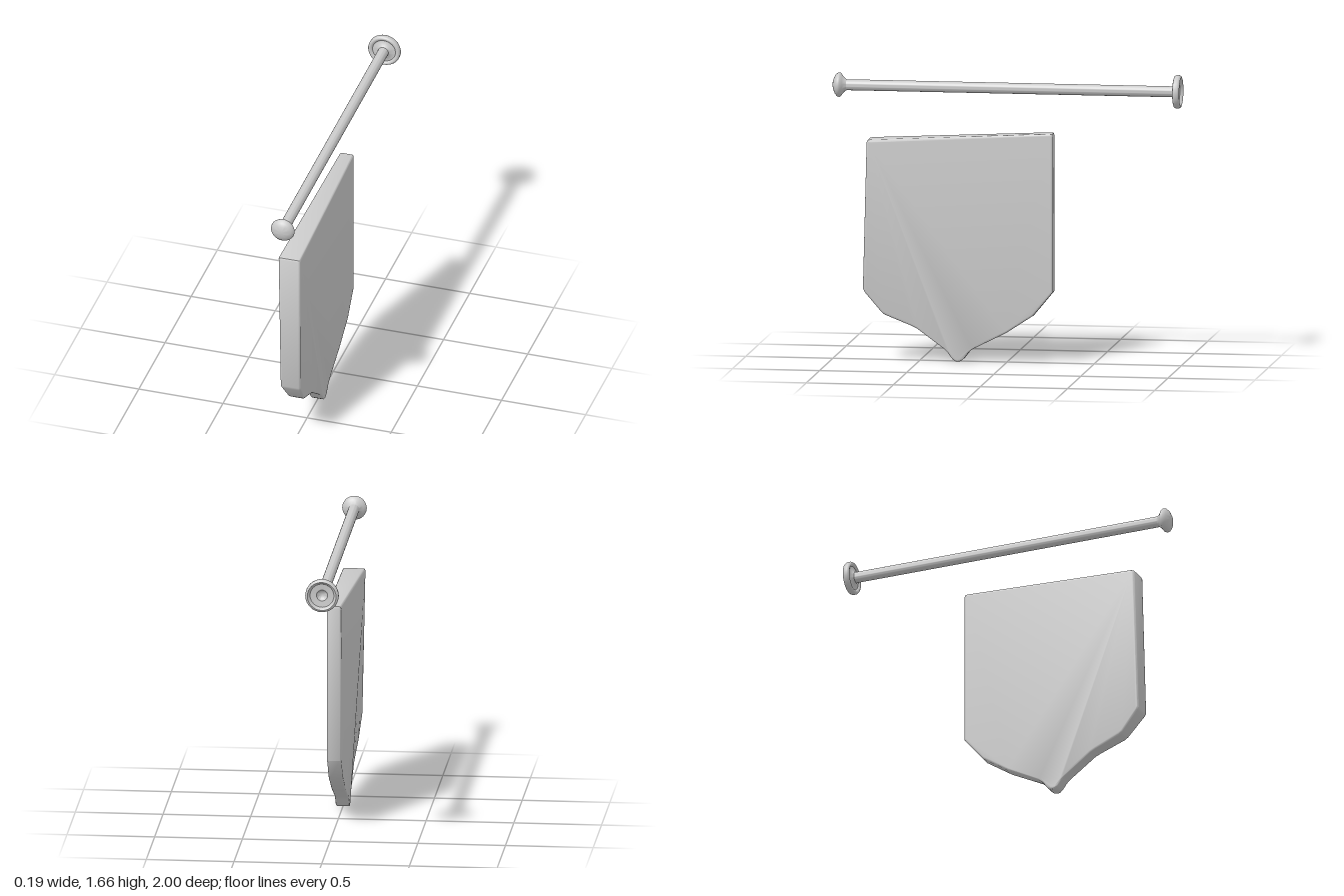
import * as THREE from 'three';
import { toCreasedNormals } from 'three/addons/utils/BufferGeometryUtils.js';

const material = new THREE.MeshStandardMaterial({ color: 0xcccccc });

// Turned part along z; the profile lists [radius, z] from back to front.
function turned(name, profile) {
  const points = profile.map(([r, z]) => new THREE.Vector2(r, z));
  const geometry = new THREE.LatheGeometry(points, 32).rotateX(Math.PI / 2);
  const mesh = new THREE.Mesh(toCreasedNormals(geometry, 0.9), material);
  mesh.name = name;
  return mesh;
}

function createBanner() {
  // Side outline as [z, y]
  const outline = [
    [0.8, 1.25], [0.795, 1.26], [0.78, 1.264], [-0.25, 1.318], [-0.263, 1.315], [-0.268, 1.3],
    [-0.268, 0.41], [-0.155, 0.273], [0, 0.171], [0.193, 0.075], [0.215, 0.055],
    [0.246, 0.016], [0.262, 0.004], [0.28, 0], [0.296, 0.004], [0.31, 0.016],
    [0.335, 0.05], [0.353, 0.07], [0.514, 0.187], [0.545, 0.202], [0.696, 0.262],
    [0.715, 0.277], [0.81, 0.39], [0.82, 0.41],
  ];
  const shape = new THREE.Shape(outline.map(([z, y]) => new THREE.Vector2(z, y)));
  const bevel = 0.012;
  const geometry = new THREE.ExtrudeGeometry(shape, {
    depth: 2 - 0.4, bevelThickness: 0.2, bevelSize: bevel, bevelOffset: -bevel, bevelSegments: 3,
  });
  geometry.translate(0, 0, -0.8).rotateY(-Math.PI / 2);

  // Thickness: thin at the back edge and tip, swelling towards the front edge
  const p = geometry.attributes.position;
  for (let i = 0; i < p.count; i++) {
    const x = p.getX(i), y = p.getY(i), z = p.getZ(i);
    const forward = THREE.MathUtils.clamp((z + 0.27) / 1.08, 0, 1);
    const low = THREE.MathUtils.clamp((y - 0.18) / 0.23, 0, 1);
    const high = THREE.MathUtils.clamp((y - 0.41) / 0.85, 0, 1);
    const swell = x > 0 ? 0.02 - 0.01 * high : 0.02 + 0.02 * high;
    p.setX(i, x * (0.04 + swell * forward * low));
  }
  const mesh = new THREE.Mesh(toCreasedNormals(geometry, 0.7), material);
  mesh.name = 'banner';
  return mesh;
}

export function createModel() {
  const model = new THREE.Group();
  model.name = 'hangingBanner';

  const pole = new THREE.Group();
  pole.name = 'pole';
  pole.position.y = 1.57;
  pole.add(
    turned('rod', [[0.031, -0.97], [0.031, 0.935]]),
    // Domed finial at the front
    turned('finial', [
      [0.031, 0.92], [0.038, 0.932], [0.052, 0.944], [0.066, 0.954], [0.07, 0.963],
      [0.067, 0.973], [0.055, 0.985], [0.036, 0.994], [0.018, 0.999], [0, 1],
    ]),
    // Wall plate with a raised rim and a dimple behind
    turned('wallPlate', [
      [0, -0.955], [0.022, -0.96], [0.032, -0.978], [0.068, -0.982], [0.074, -0.994],
      [0.082, -1], [0.09, -0.997], [0.095, -0.988], [0.095, -0.972], [0.09, -0.963],
      [0.082, -0.96], [0.074, -0.964], [0.068, -0.97], [0.04, -0.966], [0.031, -0.955],
    ]),
  );

  model.add(pole, createBanner());
  return model;
}
